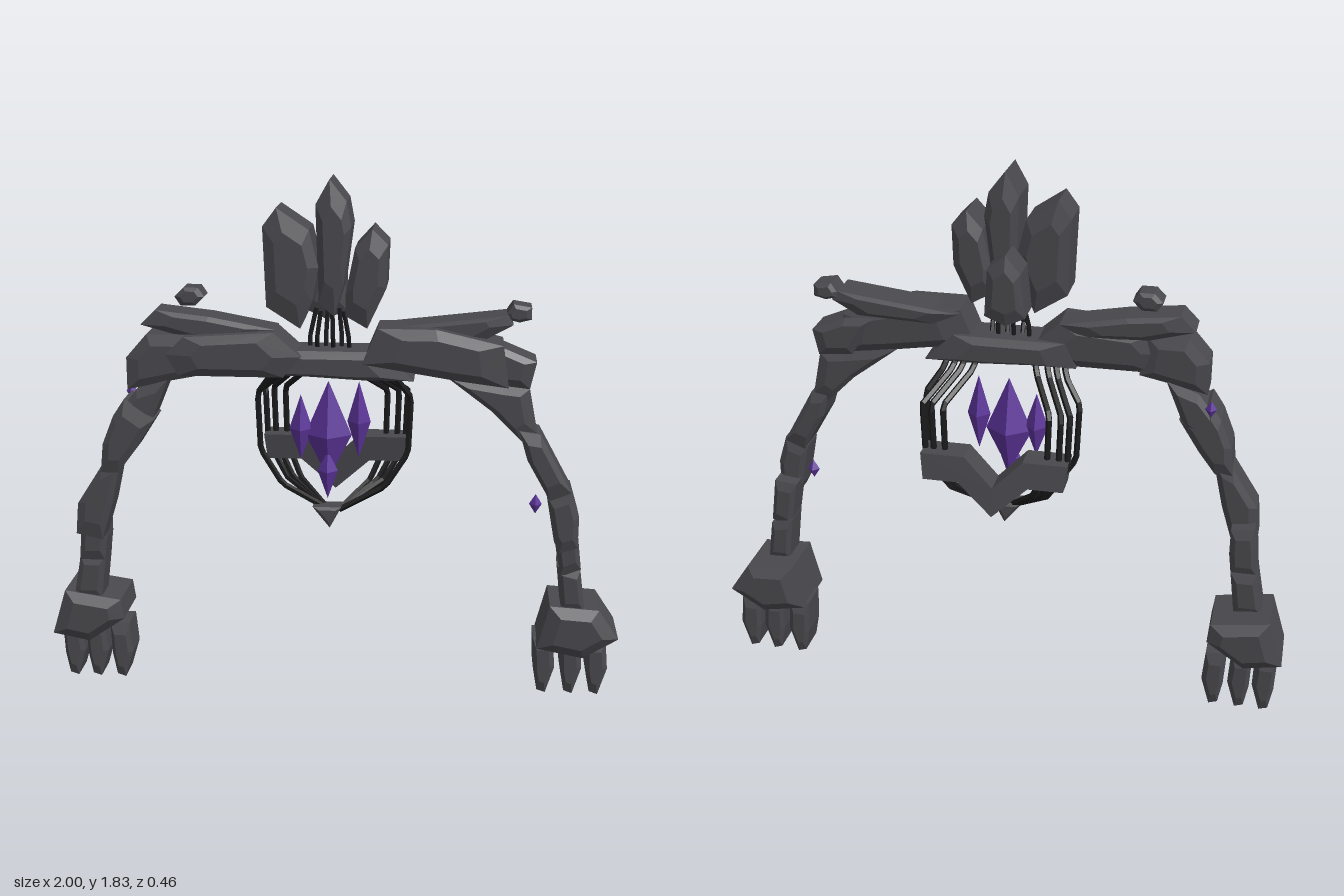
import * as THREE from 'three';

const flat = (name, color, extra = {}) => {
  const m = new THREE.MeshStandardMaterial({ color, flatShading: true, ...extra });
  m.name = name;
  return m;
};

export function createModel() {
  const group = new THREE.Group();
  const stone = flat('dark stone', 0x49484d);
  const root = flat('black root', 0x1b1b1d);
  const crystal = flat('purple crystal', 0x5b3398);

  const add = (name, geo, mat) => {
    const mesh = new THREE.Mesh(geo, mat);
    mesh.name = name;
    group.add(mesh);
    return mesh;
  };

  // Chipped stone slab: convex outline (x, y in hundredths) between z0 and z1, with faceted front and back
  function rock(name, z0, z1, outline) {
    let pts = [];
    for (let i = 0; i < outline.length; i += 2) pts.push(new THREE.Vector2(outline[i] / 100, outline[i + 1] / 100));
    if (THREE.ShapeUtils.area(pts) < 0) pts.reverse();
    const n = pts.length, d = z1 - z0;
    const mid = pts.reduce((a, p) => a.add(p), new THREE.Vector2()).divideScalar(n);
    const rings = [[z0, 0.6], [z0 + d * 0.1, 1], [z1 - d * 0.1, 1], [z1, 0.6]];
    const pos = [], idx = [];
    for (const [z, s] of rings) {
      for (const p of pts) pos.push(mid.x + (p.x - mid.x) * s, mid.y + (p.y - mid.y) * s, z);
    }
    for (let r = 0; r < 3; r++) {
      for (let i = 0; i < n; i++) {
        const j = (i + 1) % n, a = r * n + i, b = r * n + j;
        idx.push(a, b, b + n, a, b + n, a + n);
      }
    }
    for (let i = 1; i < n - 1; i++) {
      idx.push(0, i + 1, i);
      idx.push(3 * n, 3 * n + i, 3 * n + i + 1);
    }
    const geo = new THREE.BufferGeometry();
    geo.setAttribute('position', new THREE.Float32BufferAttribute(pos, 3));
    geo.setIndex(idx);
    geo.computeVertexNormals();
    return add(name, geo, stone);
  }

  // Jointed root made of straight tube pieces
  function strand(name, points, radius) {
    const path = new THREE.CurvePath();
    const v = points.map((p) => new THREE.Vector3(...p));
    for (let i = 0; i < v.length - 1; i++) path.add(new THREE.LineCurve3(v[i], v[i + 1]));
    add(name, new THREE.TubeGeometry(path, 24, radius, 5), root);
  }

  // Four-sided pointed crystal
  function gem(name, x, y, z, w, up, down, depth) {
    const geo = new THREE.OctahedronGeometry(1);
    const p = geo.attributes.position;
    for (let i = 0; i < p.count; i++) {
      const py = p.getY(i);
      p.setXYZ(i, p.getX(i) * w, py * (py > 0 ? up : down), p.getZ(i) * depth);
    }
    add(name, geo, crystal).position.set(x, y, z);
  }

  // Head: four upright shards
  rock('headShardRight', 0.02, 0.2, [-21, 169, -16.5, 175, -6, 168, -3, 156, -5, 145, -9, 136, -20, 143]);
  rock('headShardCentre', 0, 0.19, [0.5, 184, 6, 177, 7.5, 169, 5, 150, 2, 140, -3, 144, -4, 176]);
  rock('headShardLeft', 0.04, 0.23, [6, 141, 6, 148, 9, 163, 14.5, 169, 19.5, 164, 19, 150, 13, 137]);
  rock('headShardBack', -0.11, 0.03, [-8.5, 139, -7, 154, -2, 160, 4, 155, 5, 139, -2, 136]);

  // Neck roots
  for (let i = 0; i < 6; i++) {
    const x = -0.065 + i * 0.024;
    strand('neckRoot', [[x * 1.1, 1.24, 0.05], [x * 1.1, 1.31, 0.04 + (i % 2) * 0.04], [x * 0.8, 1.4, 0.03 + (i % 2) * 0.05]], 0.008);
  }

  // Shoulder yoke
  rock('collarBar', -0.02, 0.15, [-24, 119, -20, 127.5, 18, 127.5, 28, 118, 10, 118, -10, 119]);
  rock('shoulderRight', 0, 0.18, [-54, 126, -48, 132, -18, 134, -9, 126, -15, 119, -50, 119]);
  rock('shoulderCapRight', 0, 0.14, [-68, 124, -61, 132, -47, 132, -45, 118, -55, 116, -68, 113]);
  rock('shoulderSpikeRight', -0.01, 0.13, [-63, 135, -58, 140, -40, 138, -18, 134, -26, 130, -48, 131]);
  rock('shoulderNubRight', 0, 0.09, [-52, 144, -49, 147, -44, 147, -42, 144, -45, 141, -50, 141]);
  rock('shoulderLeft', 0, 0.18, [11, 124, 16, 136, 35, 136, 57, 131, 59, 117, 43, 119]);
  rock('shoulderCapLeft', -0.01, 0.14, [45, 131, 56, 130, 68, 125, 66, 116, 54, 117]);
  rock('shoulderSpikeLeft', -0.02, 0.13, [16, 135, 33, 137, 58, 140, 60, 137, 51, 132, 25, 131]);
  rock('shoulderNubLeft', -0.02, 0.08, [58, 140, 60, 143, 66, 142, 66, 138, 62, 137, 58, 138]);

  // Right arm
  rock('armCuffRight', 0, 0.14, [-65, 113, -54, 117, -61, 100, -69, 94, -73, 103]);
  rock('upperArmRight', 0, 0.155, [-73, 104, -69, 110, -59, 103, -66, 92, -72, 84, -78, 84, -77, 94]);
  rock('elbowRight', 0.01, 0.135, [-78, 86, -71, 90, -75, 72, -79, 59, -88, 61, -87, 72]);
  rock('forearmRight', -0.05, 0.07, [-87, 67, -79, 66, -79, 57, -80, 49, -89, 49, -88, 60]);
  rock('wristRight', -0.06, 0.06, [-89, 50, -80, 50, -82, 34, -92, 34]);

  // Left arm
  rock('armCuffLeft', 0, 0.14, [38, 120, 57, 117, 66, 116, 69, 101, 64, 98, 54, 108]);
  rock('upperArmLeft', 0, 0.155, [63, 102, 70, 101, 81, 81, 74, 78, 66, 92]);
  rock('elbowLeft', 0.01, 0.135, [73, 79, 81, 82, 84, 72, 84, 61, 78, 59, 76, 63]);
  rock('forearmLeft', -0.05, 0.07, [76, 66, 84, 67, 86, 51, 79, 48]);
  rock('wristLeft', -0.06, 0.06, [78, 52, 86, 50, 88, 35, 80, 35]);

  // Hands and fingers
  rock('handRight', -0.165, 0.085, [-100, 20.5, -95, 37, -75, 34, -74, 27, -87, 18]);
  rock('handLeft', -0.165, 0.085, [72, 21, 76, 37, 93, 36, 100, 25.5, 88, 18]);
  for (const x of [-94.5, -86, -77, 75, 84.5, 93.5]) {
    rock('finger', -0.14, 0, [x - 4, 22, x + 3, 22, x + 4, 11, x + 1, 1, x - 2, 2, x - 3.5, 10]);
  }

  // Rib roots curving backwards, mirrored on both sides
  for (const s of [-1, 1]) {
    const ribs = [[0.2, 0.265, -0.05], [0.17, 0.25, -0.15], [0.14, 0.22, -0.15], [0.1, 0.18, -0.15]];
    for (const [top, wide, z] of ribs) {
      strand('rib', [
        [s * top, 1.2, 0.01], [s * (top + 0.01), 1.16, -0.01], [s * wide, 1.08, z],
        [s * wide * 0.97, 0.88, z], [s * wide * 0.68, 0.76, z * 0.75], [s * 0.02, 0.67, -0.04],
      ], 0.011);
    }
  }

  // Chevron plate behind the ribs, leaning back towards its tip
  const half = [[0, 0.82], [0.1, 0.92], [0.25, 0.92], [0.24, 0.83], [0.12, 0.83], [0, 0.72]];
  const outline = [...half, ...half.slice(1, -1).reverse().map(([x, y]) => [-x, y])];
  const plate = new THREE.ExtrudeGeometry(
    new THREE.Shape(outline.map(([x, y]) => new THREE.Vector2(x, y))), { depth: 0.1, bevelEnabled: false });
  const pp = plate.attributes.position;
  for (let i = 0; i < pp.count; i++) pp.setZ(i, pp.getZ(i) - 0.195 - (0.93 - pp.getY(i)) * 0.15);
  add('backPlate', plate, stone);
  rock('ribTip', -0.07, 0.01, [-7, 69, 3, 69, -1, 61.5]);

  // Heart crystals and small arm crystals
  gem('heartCrystal', -0.015, 0.95, -0.01, 0.08, 0.19, 0.16, 0.06);
  gem('heartCrystalLow', -0.015, 0.83, 0.02, 0.035, 0.07, 0.1, 0.035);
  gem('heartCrystalRight', -0.11, 0.97, -0.01, 0.04, 0.12, 0.11, 0.04);
  gem('heartCrystalLeft', 0.09, 1.0, -0.01, 0.04, 0.14, 0.13, 0.04);
  gem('armCrystalLeft', 0.7, 0.72, -0.01, 0.022, 0.035, 0.035, 0.022);
  gem('armCrystalRight', -0.695, 1.09, -0.01, 0.02, 0.03, 0.03, 0.022);

  return group;
}
